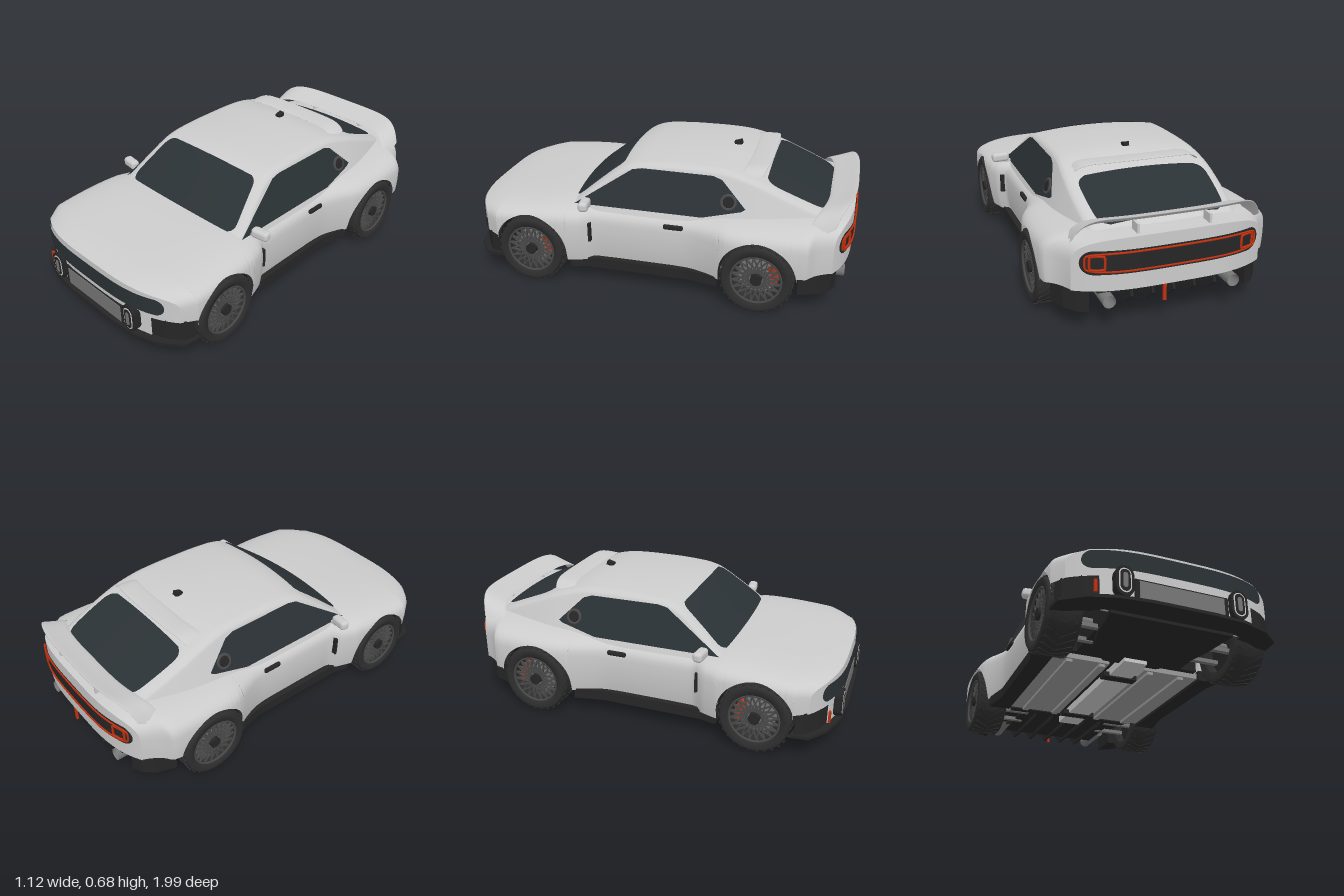
import * as THREE from 'three';
import { mergeGeometries } from 'three/addons/utils/BufferGeometryUtils.js';
import { RoundedBoxGeometry } from 'three/addons/geometries/RoundedBoxGeometry.js';

const paint = (color) => new THREE.MeshStandardMaterial({ color, side: THREE.DoubleSide });
const body = paint(0xcccccc), glass = paint(0x2b3235), black = paint(0x262626), rubber = paint(0x2e2e2e),
  metal = paint(0x777777), pan = paint(0x9a9a9a), rimGrey = paint(0x484848), red = paint(0xc03010);
const { PI, abs, min, max, sin, cos } = Math;
const clamp = THREE.MathUtils.clamp, lerp = THREE.MathUtils.lerp;

function add(parent, name, geo, mat, x = 0, y = 0, z = 0) {
  const m = new THREE.Mesh(geo, mat);
  m.name = name;
  m.position.set(x, y, z);
  parent.add(m);
  return m;
}
const box = (w, h, d) => new THREE.BoxGeometry(w, h, d);

// Smooth function through [position, value] points
const curve = (p) => (t) => {
  let i = 0;
  while (i < p.length - 2 && t > p[i + 1][0]) i++;
  const slope = (k) => {
    const a = p[max(k - 1, 0)], b = p[min(k + 1, p.length - 1)];
    return (b[1] - a[1]) / (b[0] - a[0]);
  };
  const d = p[i + 1][0] - p[i][0], s = clamp((t - p[i][0]) / d, 0, 1), r = 1 - s;
  return p[i][1] * (1 + 2 * s) * r * r + p[i + 1][1] * s * s * (3 - 2 * s) + d * s * r * (slope(i) * r - slope(i + 1) * s);
};

// Surface from a rule f(u, v) -> [x, y, z], with u and v in 0..1
function grid(f, nu, nv) {
  const pos = [], idx = [], row = nv + 1;
  for (let i = 0; i <= nu; i++) for (let j = 0; j <= nv; j++) pos.push(...f(i / nu, j / nv));
  for (let i = 0; i < nu; i++) for (let j = 0; j < nv; j++) {
    const a = i * row + j;
    idx.push(a, a + 1, a + row, a + 1, a + row + 1, a + row);
  }
  const g = new THREE.BufferGeometry();
  g.setAttribute('position', new THREE.Float32BufferAttribute(pos, 3));
  g.setIndex(idx);
  g.computeVertexNormals();
  return g;
}

// Lower body: half width and centre height along z, arches cut from the lower edge
const AXLES = [0.61, -0.555], ARCH = 0.19, HUB = 0.18, MID = 0.3, POW = 3.8, NOSE = 0.97, TAIL = -0.98;
const width = curve([[-0.98, 0.455], [-0.88, 0.5], [-0.81, 0.54], [-0.74, 0.556], [-0.55, 0.56], [-0.4, 0.545], [-0.3, 0.5],
  [-0.2, 0.47], [0, 0.465], [0.27, 0.468], [0.3, 0.474], [0.325, 0.505], [0.37, 0.522], [0.42, 0.538], [0.6, 0.549],
  [0.8, 0.543], [0.9, 0.525], [0.97, 0.5]]);
const deck = curve([[-0.98, 0.455], [-0.8, 0.46], [-0.5, 0.45], [-0.2, 0.435], [0.3, 0.433], [0.45, 0.438],
  [0.6, 0.43], [0.8, 0.41], [0.9, 0.395], [0.97, 0.375]]);
const sweep = (x) => 0.11 * Math.pow(abs(x) / 0.5, 3.5);
const frontZ = (x) => NOSE - sweep(x), rearZ = (x) => TAIL + sweep(x);
const bendEnds = (x, z) => z - Math.sign(z) * sweep(x) * clamp((abs(z) - 0.79) / 0.18, 0, 1);
function lowerEdge(z) {
  let y = z < -0.745 ? 0.21 : z > 0.8 ? 0.235 : 0.13;
  for (const a of AXLES) if (abs(z - a) < ARCH) y = max(y, HUB + Math.sqrt(ARCH ** 2 - (z - a) ** 2));
  return y;
}
function section(z, k) { // k runs -1..1 from one sill over the top to the other
  const w = width(z), top = deck(z), yb = lowerEdge(z);
  const s0 = yb <= MID ? 0.4 * (yb - 0.13) / (MID - 0.13)
    : 0.4 + 0.6 * Math.asin(Math.pow((yb - MID) / (top - MID), POW / 2)) / (PI / 2);
  const s = lerp(1, s0, abs(k)), sign = k < 0 ? -1 : 1;
  if (s < 0.4) {
    const y = lerp(0.13, MID, s / 0.4);
    return [sign * (w - 0.02 * ((MID - y) / 0.17) ** 2), y];
  }
  const a = (s - 0.4) / 0.6 * PI / 2;
  return [sign * w * Math.pow(max(cos(a), 0), 2 / POW), MID + (top - MID) * Math.pow(sin(a), 2 / POW)];
}
function makeLowerBody(car) {
  const zs = [];
  for (let i = 0; i <= 70; i++) zs.push(lerp(TAIL, NOSE, i / 70));
  for (const a of AXLES) {
    for (let k = 0; k <= 24; k++) zs.push(a + (ARCH - 0.0002) * cos(k * PI / 24));
    zs.push(a + ARCH + 0.001, a - ARCH - 0.001);
  }
  zs.sort((a, b) => a - b);
  const n = zs.length - 1;
  add(car, 'bodyShell', grid((u, v) => {
    const z = zs[Math.round(u * n)], [x, y] = section(z, v * 2 - 1);
    return [x, y, bendEnds(x, z)];
  }, n, 48), body);
  for (const [name, z] of [['noseFace', NOSE], ['tailFace', TAIL]])
    add(car, name, grid((u, v) => {
      const [x, y] = section(z, u * 2 - 1);
      return [x, lerp(y, lowerEdge(z), v), bendEnds(x, z)];
    }, 48, 4), body);
}

// Cabin: roof profile and base width along z, with leaning straight sides
const roof = curve([[-0.9, 0.45], [-0.82, 0.49], [-0.61, 0.578], [-0.5, 0.62], [-0.35, 0.655], [-0.1, 0.66], [0.05, 0.652],
  [0.12, 0.643], [0.195, 0.618], [0.3, 0.543], [0.43, 0.44], [0.46, 0.42]]);
const cabinBase = curve([[-0.9, 0.34], [-0.8, 0.375], [-0.65, 0.41], [-0.5, 0.43], [-0.3, 0.43], [0.46, 0.43]]);
const sideX = (y, z) => cabinBase(z) - 0.37 * (y - 0.41);
const bendScreen = (x, z) => z - 0.025 * (x / 0.4) ** 2 * clamp(z / 0.2, 0, 1);
const crown = (x, z) => roof(z) - 0.018 * (x / (sideX(roof(z), z) - 0.03)) ** 2;
function cabinPoint(z, k) {
  const T = roof(z), e = sideX(T, z), a = abs(k), sign = k < 0 ? -1 : 1;
  if (a > 0.6) {
    const y = lerp(T - 0.045, 0.36, (a - 0.6) / 0.4);
    return [sign * sideX(y, z), y];
  }
  if (a > 0.45) {
    const t = (a - 0.45) / 0.15, x = lerp(e - 0.03, e + 0.0166, sin(t * PI / 2));
    return [sign * x, T - 0.018 - 0.027 * (1 - cos(t * PI / 2))];
  }
  const x = (e - 0.03) * a / 0.45;
  return [sign * x, crown(x, z)];
}
function makeCabin(car, half) {
  add(car, 'cabin', grid((u, v) => {
    const z = lerp(-0.9, 0.46, u), [x, y] = cabinPoint(z, v * 2 - 1);
    return [x, y, bendScreen(x, z)];
  }, 60, 40), body);
  const screen = (name, z0, z1, round) => add(car, name, grid((u, v) => {
    const z = lerp(z0, z1, u), k = v * 2 - 1;
    const x = k * (sideX(roof(z), z) - 0.036) * (1 - round * abs(2 * u - 1) ** 8);
    return [x, crown(x, z) + 0.004, bendScreen(x, z) + Math.sign(z) * 0.002];
  }, 24, 20), glass);
  screen('windshield', 0.43, 0.18, 0.1);
  screen('rearWindow', -0.55, -0.85, 0.14);
  // Side window follows the leaning cabin side
  const g = new THREE.ShapeGeometry(new THREE.Shape([[0.4, 0.417], [0.11, 0.605], [0.06, 0.614], [-0.3, 0.612], [-0.345, 0.597],
    [-0.47, 0.475], [-0.45, 0.462], [-0.26, 0.417]].map((p) => new THREE.Vector2(...p))));
  const p = g.attributes.position;
  for (let i = 0; i < p.count; i++) {
    const z = p.getX(i), y = p.getY(i);
    p.setXYZ(i, sideX(y, 0) + 0.006, y, z);
  }
  g.computeVertexNormals();
  add(half, 'sideWindow', g, glass);
  const ventX = sideX(0.5, 0) + 0.008;
  add(half, 'quarterVent', new THREE.TorusGeometry(0.034, 0.008, 8, 28).rotateY(PI / 2).rotateZ(0.35), rimGrey, ventX, 0.5, -0.385);
  add(half, 'ventCover', new THREE.CylinderGeometry(0.025, 0.03, 0.02, 24).rotateZ(0.35 - PI / 2), black, ventX, 0.5, -0.385);
}

// Wing: flat oval section swept across x, ends drooping and trailing back
function wing(half, zl, yl, zt, yt, thick, droop, back) {
  return grid((u, v) => {
    const k = -cos(u * PI), a = v * PI * 2, c = 0.5 - 0.5 * cos(a), e = abs(k) ** 10;
    return [k * half, lerp(yl, yt, c * c * 0.6 + c * 0.4) + thick * sin(a) - droop * e,
      lerp(zl, zt, c) + back * abs(k) ** 4];
  }, 40, 20);
}

// Flat outline in x and z, raised from y0 to y1
function plan(points, y0, y1) {
  const s = new THREE.Shape(points.map(([x, z]) => new THREE.Vector2(x, -z)));
  return new THREE.ExtrudeGeometry(s, { depth: y1 - y0, bevelEnabled: false }).rotateX(-PI / 2).translate(0, y0, 0);
}
const mirrored = (pts) => [...pts, ...pts.map(([x, z]) => [-x, z]).reverse()];
function capsule(r, h, depth) {
  const s = new THREE.Shape();
  s.absarc(0, h - r, r, 0, PI);
  s.absarc(0, r - h, r, PI, PI * 2);
  return new THREE.ExtrudeGeometry(s, { depth, bevelEnabled: false, curveSegments: 14 });
}
// Long round-ended panel lying on the nose or tail
const pill = (half, h, yc, zOf) => grid((u, v) => {
  const x = -cos(u * PI) * half, end = max(0, abs(x) - half + h) / h;
  return [x, yc + (v * 2 - 1) * h * Math.sqrt(max(0, 1 - end * end)), zOf(x)];
}, 60, 4);

function makeWheel() {
  const w = new THREE.Group();
  const lathe = (pts) => new THREE.LatheGeometry(pts.map((p) => new THREE.Vector2(...p)), 56).rotateZ(-PI / 2);
  const disc = (r, d) => new THREE.CylinderGeometry(r, r, d, 36).rotateZ(PI / 2);
  add(w, 'tyre', lathe([[0.122, -0.08], [0.16, -0.085], [0.17, -0.077], [0.174, -0.055], [0.175, 0], [0.174, 0.055],
    [0.17, 0.077], [0.16, 0.085], [0.128, 0.08], [0.12, 0.06], [0.118, -0.05]]), rubber);
  // V-shaped tread bars
  const bars = [];
  for (let k = 0; k < 28; k++) for (const s of [-1, 1])
    bars.push(box(0.082, 0.005, 0.012).rotateY(s * 0.55).translate(s * 0.036, 0.1745, 0).rotateX(k * PI / 14));
  add(w, 'tread', mergeGeometries(bars), rubber);
  add(w, 'rimBack', disc(0.119, 0.01), black, -0.03);
  add(w, 'brakeDisc', disc(0.095, 0.012), metal, 0.01);
  add(w, 'rimLip', new THREE.TorusGeometry(0.122, 0.006, 8, 48).rotateY(PI / 2), rimGrey, 0.074);
  add(w, 'hub', disc(0.028, 0.05), black, 0.055);
  const spokes = [];
  for (let k = 0; k < 20; k++) for (const tilt of [-0.42, 0.42])
    spokes.push(box(0.012, 0.1, 0.006).rotateX(tilt).translate(0.062, 0.074, 0).rotateX(k * PI / 10));
  add(w, 'spokes', mergeGeometries(spokes), rimGrey);
  for (const a of [-0.15, 0.2, 0.55])
    add(w, 'brakeCaliper', box(0.05, 0.034, 0.035).translate(0.022, 0, -0.085).rotateX(a), red);
  return w;
}

function makeHalf(half) {
  AXLES.forEach((z, i) => {
    const wheel = makeWheel();
    wheel.name = i ? 'rearWheel' : 'frontWheel';
    wheel.position.set(i ? 0.477 : 0.463, HUB - 0.002, z);
    half.add(wheel);
    const liner = new THREE.CylinderGeometry(0.188, 0.188, 0.2, 32, 1, true, 0, PI).rotateZ(PI / 2);
    add(half, 'archLiner', liner, black, 0.41, HUB, z);
    add(half, 'axle', new THREE.CylinderGeometry(0.025, 0.025, 0.2, 14).rotateZ(PI / 2), metal, 0.34, HUB, z);
    for (const d of [-0.07, 0.07]) add(half, 'suspensionArm', box(0.18, 0.02, 0.025), metal, 0.33, 0.13, z + d);
  });
  // Door mirror, handle, vent and sill
  add(half, 'mirror', new RoundedBoxGeometry(0.095, 0.05, 0.05, 3, 0.018), body, 0.487, 0.441, 0.325).rotation.y = 0.12;
  add(half, 'mirrorArm', box(0.06, 0.014, 0.025), body, 0.44, 0.418, 0.325);
  add(half, 'doorHandle', new RoundedBoxGeometry(0.02, 0.025, 0.1, 2, 0.009), black, 0.465, 0.36, -0.125);
  add(half, 'fenderVent', box(0.03, 0.1, 0.012), black, 0.482, 0.29, 0.305);
  add(half, 'sideSkirt', plan([[0.39, 0.41], [0.5, 0.41], [0.48, 0.32], [0.475, -0.2], [0.505, -0.355], [0.39, -0.355]], 0.085, 0.138), black);
  // Nose corner duct and lamp
  add(half, 'cornerDuct', plan([[0.36, 0.93], [0.44, 0.9], [0.51, 0.845], [0.525, 0.8], [0.48, 0.79], [0.36, 0.82]], 0.125, 0.24), black);
  add(half, 'lampPod', capsule(0.042, 0.072, 0.06), black, 0.277, 0.205, 0.925);
  add(half, 'lampRing', capsule(0.029, 0.058, 0.004), body, 0.277, 0.205, 0.983);
  add(half, 'lampFace', capsule(0.023, 0.052, 0.006), black, 0.277, 0.205, 0.983);
  add(half, 'lampCore', capsule(0.011, 0.036, 0.008), metal, 0.277, 0.205, 0.983);
  // Tail corner, exhaust, wing strut and square lamp
  add(half, 'rearCorner', plan([[0.38, -0.75], [0.505, -0.75], [0.475, -0.84], [0.43, -0.895], [0.38, -0.92]], 0.1, 0.22), black);
  add(half, 'exhaust', new THREE.CylinderGeometry(0.03, 0.03, 0.24, 20, 1, true).rotateX(PI / 2), metal, 0.3, 0.155, -0.84);
  add(half, 'wingStrut', box(0.012, 0.05, 0.06), body, 0.17, 0.473, -0.925);
  const lamp = [[0.325, 0.315], [0.325, 0.375], [0.385, 0.375], [0.385, 0.315]]
    .map(([x, y]) => new THREE.Vector3(x, y, rearZ(x) - 0.01));
  add(half, 'tailLamp', new THREE.TubeGeometry(new THREE.CatmullRomCurve3(lamp, true, 'catmullrom', 0.15), 40, 0.006, 6, true), red);
  // Floor pan and rails
  add(half, 'floorPan', box(0.3, 0.03, 0.74), pan, 0.245, 0.115, 0.02);
  for (const x of [0.13, 0.3]) add(half, 'floorRail', box(0.03, 0.025, 0.72), pan, x, 0.098, 0.02);
}

export function createModel() {
  const car = new THREE.Group(), left = new THREE.Group();
  car.name = 'car';
  left.name = 'leftParts';
  makeLowerBody(car);
  makeCabin(car, left);
  makeHalf(left);
  const right = left.clone();
  right.name = 'rightParts';
  right.scale.x = -1;
  car.add(left, right);

  // Nose: grille, bumper centre, radiator and splitter
  add(car, 'grilleRim', pill(0.455, 0.053, 0.312, (x) => frontZ(x) + 0.005), body);
  add(car, 'grille', pill(0.445, 0.045, 0.312, (x) => frontZ(x) + 0.01), glass);
  const chin = [0.37, 0.28, 0.18, 0.08].map((x) => [x, frontZ(x)]);
  add(car, 'bumperCentre', plan(mirrored([[0.37, 0.84], ...chin]), 0.125, 0.24), body);
  add(car, 'radiatorFrame', box(0.45, 0.11, 0.03), black, 0, 0.176, 0.958);
  add(car, 'radiator', box(0.41, 0.092, 0.01), metal, 0, 0.178, 0.971);
  add(car, 'splitter', plan(mirrored([[0.32, 0.87], [0.48, 0.79], [0.54, 0.78], [0.53, 0.87], [0.43, 0.945], [0.3, 0.985],
    [0.15, 0.998]]), 0.115, 0.13), black);
  add(car, 'frontTowStrap', box(0.014, 0.06, 0.012), red, -0.392, 0.178, 0.94);

  // Roof and tail wings, antenna
  add(car, 'roofSpoiler', wing(0.31, -0.45, 0.636, -0.56, 0.641, 0.006, 0.03, 0.025), body);
  add(car, 'tailWing', wing(0.445, -0.855, 0.497, -0.985, 0.545, 0.009, 0.1, 0.085), body);
  add(car, 'antenna', box(0.028, 0.022, 0.04), black, 0, 0.663, -0.36).rotation.x = 0.3;

  // Tail light panel and its red outline
  add(car, 'tailPanel', pill(0.425, 0.055, 0.345, (x) => rearZ(x) - 0.006), black);
  const loop = [];
  for (let i = 0; i < 48; i++) {
    const a = i / 48 * PI * 2, bend = (t, n) => Math.sign(t) * abs(t) ** n;
    const x = 0.405 * bend(cos(a), 0.3);
    loop.push(new THREE.Vector3(x, 0.345 + 0.043 * bend(sin(a), 0.3), rearZ(x) - 0.009));
  }
  add(car, 'tailLightLine', new THREE.TubeGeometry(new THREE.CatmullRomCurve3(loop, true), 160, 0.005, 6, true), red);

  // Underside: inner tub narrowed at the axles, tunnel, skid plate and diffuser
  const tub = [[0.28, 0.83], [0.28, 0.42], [0.37, 0.42], [0.37, -0.365], [0.28, -0.365], [0.28, -0.83]];
  add(car, 'innerTub', plan(mirrored(tub), 0.125, 0.383), black);
  add(car, 'tunnel', box(0.12, 0.04, 0.94), body, 0, 0.102, 0.02);
  add(car, 'skidPlate', plan(mirrored([[0.14, 0.42], [0.24, 0.52], [0.28, 0.7], [0.3, 0.88]]), 0.1, 0.125), black);
  for (const z of [0.28, -0.3]) add(car, 'crossBrace', box(0.18, 0.025, 0.05), black, 0, 0.088, z);
  add(car, 'diffuser', box(0.7, 0.02, 0.56), black, 0, 0.165, -0.67).rotation.x = 0.16;
  const fin = new THREE.Shape([[0.4, 0.12], [0.45, 0.095], [0.9, 0.11], [0.97, 0.17], [0.95, 0.22], [0.4, 0.16]]
    .map((p) => new THREE.Vector2(...p)));
  const finGeo = new THREE.ExtrudeGeometry(fin, { depth: 0.012, bevelEnabled: false }).rotateY(PI / 2);
  for (let i = -2; i <= 2; i++) add(car, 'diffuserFin', finGeo, black, i * 0.1 - 0.006, 0, 0);
  add(car, 'rearTowStrap', box(0.014, 0.08, 0.012), red, 0.05, 0.17, -0.975);
  return car;
}
